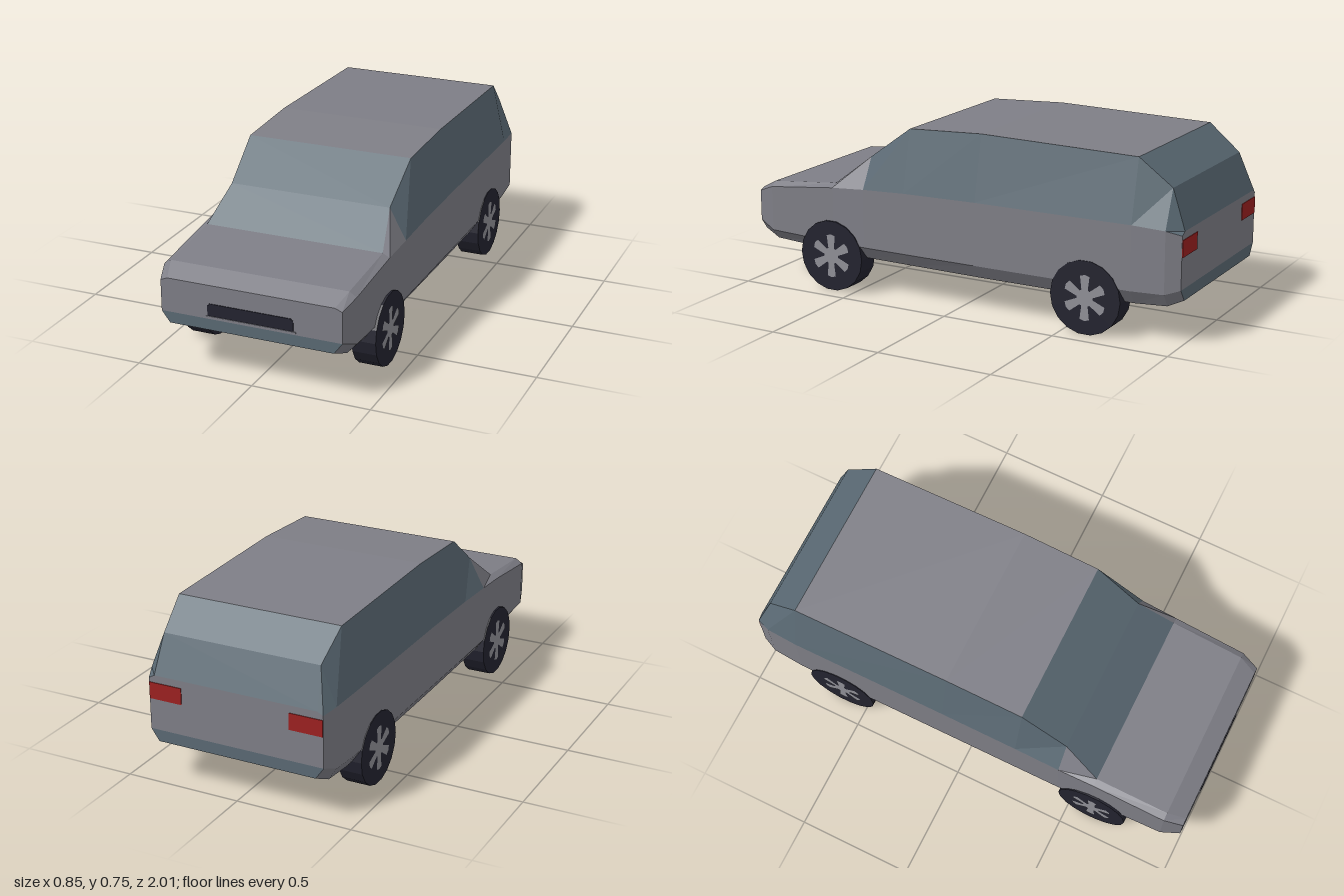
import * as THREE from 'three';

const material = (name, color) => {
  const m = new THREE.MeshStandardMaterial({ color });
  m.name = name;
  return m;
};

// Body stations, front to back: z, then half-width and height of the
// bottom edge, sill crease, belt line and roof edge
const STATIONS = [
  [1.00, 0.35, 0.21, 0.385, 0.257, 0.385, 0.388, 0.355, 0.40],
  [0.92, 0.37, 0.18, 0.41, 0.225, 0.41, 0.42, 0.38, 0.44],
  [0.60, 0.38, 0.165, 0.415, 0.215, 0.415, 0.455, 0.385, 0.47],
  [0.44, 0.38, 0.157, 0.42, 0.213, 0.42, 0.467, 0.35, 0.597],
  [0.24, 0.38, 0.155, 0.42, 0.212, 0.42, 0.475, 0.36, 0.74],
  [-0.10, 0.38, 0.152, 0.42, 0.212, 0.42, 0.48, 0.362, 0.755],
  [-0.80, 0.38, 0.152, 0.42, 0.212, 0.42, 0.48, 0.36, 0.74],
  [-0.94, 0.375, 0.16, 0.41, 0.215, 0.41, 0.472, 0.345, 0.63],
  [-1.00, 0.35, 0.185, 0.385, 0.235, 0.385, 0.455, 0.36, 0.468],
];

// Closed ring of eight corners, anticlockwise seen from the front
const ring = ([z, ...p]) => {
  const half = [0, 2, 4, 6].map((i) => [p[i], p[i + 1], z]);
  return [...half, ...half.map(([x, y]) => [-x, y, z]).reverse()];
};

function quadMesh(name, quads, mat) {
  const pos = quads.flatMap(([a, b, c, d]) => [a, b, c, a, c, d].flat());
  const geo = new THREE.BufferGeometry();
  geo.setAttribute('position', new THREE.Float32BufferAttribute(pos, 3));
  geo.computeVertexNormals();
  const mesh = new THREE.Mesh(geo, mat);
  mesh.name = name;
  return mesh;
}

function plate(name, w, h, x, y, z, mat) {
  const mesh = new THREE.Mesh(new THREE.BoxGeometry(w, h, 0.006), mat);
  mesh.name = name;
  mesh.position.set(x, y, z);
  return mesh;
}

// Six flared spokes around a small hub
function spokeShape() {
  const pts = [];
  for (let i = 0; i < 6; i++) {
    const mid = Math.PI / 2 + (i * Math.PI) / 3;
    for (const [r, da] of [[0.036, -0.4], [0.092, -0.23], [0.096, 0], [0.092, 0.23], [0.036, 0.4]]) {
      pts.push(new THREE.Vector2(r * Math.cos(mid + da), r * Math.sin(mid + da)));
    }
  }
  return new THREE.Shape(pts);
}

export function createModel() {
  const car = new THREE.Group();
  car.name = 'car';
  const paint = material('grey paint', 0x7e7e86);
  const glass = material('blue grey glass', 0x5a6973);
  const rubber = material('dark rubber', 0x23232f);
  const silver = material('silver', 0x8f8f96);
  const red = material('red lens', 0x9c2020);

  // Shell: sort the faces between stations into paint, glass and underside
  const faces = { paint: [], windows: [], underside: [], bumpers: [] };
  const rings = STATIONS.map(ring);
  for (let s = 0; s < rings.length - 1; s++) {
    const A = rings[s], B = rings[s + 1];
    for (let i = 0; i < 8; i++) {
      const j = (i + 1) % 8;
      const sideGlass = (i === 2 || i === 4) && s >= 3;
      const endGlass = i === 3 && [2, 3, 6, 7].includes(s);
      const part = i === 7 ? 'underside' : sideGlass || endGlass ? 'windows' : 'paint';
      faces[part].push([A[i], B[i], B[j], A[j]]);
    }
  }
  // Nose and tail panels with a bumper strip along the bottom
  for (const [r, front] of [[rings[0], true], [rings[rings.length - 1], false]]) {
    for (let i = 0; i < 3; i++) {
      const q = [r[i], r[i + 1], r[6 - i], r[7 - i]];
      faces[i === 0 ? 'bumpers' : 'paint'].push(front ? q : q.reverse());
    }
  }
  car.add(
    quadMesh('bodyShell', faces.paint, paint),
    quadMesh('windows', faces.windows, glass),
    quadMesh('underside', faces.underside, rubber),
    quadMesh('bumpers', faces.bumpers, glass),
  );

  // Grille, its lower lip and the tail lights
  car.add(
    plate('grille', 0.365, 0.045, 0, 0.294, 1, rubber),
    plate('grilleTop', 0.35, 0.008, 0, 0.319, 1, rubber),
    plate('grilleLip', 0.385, 0.008, 0, 0.266, 1, paint),
  );
  for (const side of [1, -1]) {
    car.add(plate(side > 0 ? 'leftTailLight' : 'rightTailLight', 0.145, 0.07, side * 0.311, 0.402, -1, red));
  }

  // Wheels
  const tyreGeo = new THREE.CylinderGeometry(0.155, 0.155, 0.102, 18).rotateZ(Math.PI / 2).toNonIndexed();
  tyreGeo.computeVertexNormals();
  const spokeGeo = new THREE.ShapeGeometry(spokeShape());
  for (const side of [1, -1]) {
    for (const z of [0.607, -0.605]) {
      const wheel = new THREE.Group();
      wheel.name = (z > 0 ? 'front' : 'rear') + (side > 0 ? 'Left' : 'Right') + 'Wheel';
      wheel.position.set(side * 0.372, 0.155, z);
      const tyre = new THREE.Mesh(tyreGeo, rubber);
      tyre.name = 'tyre';
      const spokes = new THREE.Mesh(spokeGeo, silver);
      spokes.name = 'spokes';
      spokes.rotation.y = (side * Math.PI) / 2;
      spokes.position.x = side * 0.053;
      wheel.add(tyre, spokes);
      car.add(wheel);
    }
  }
  return car;
}
